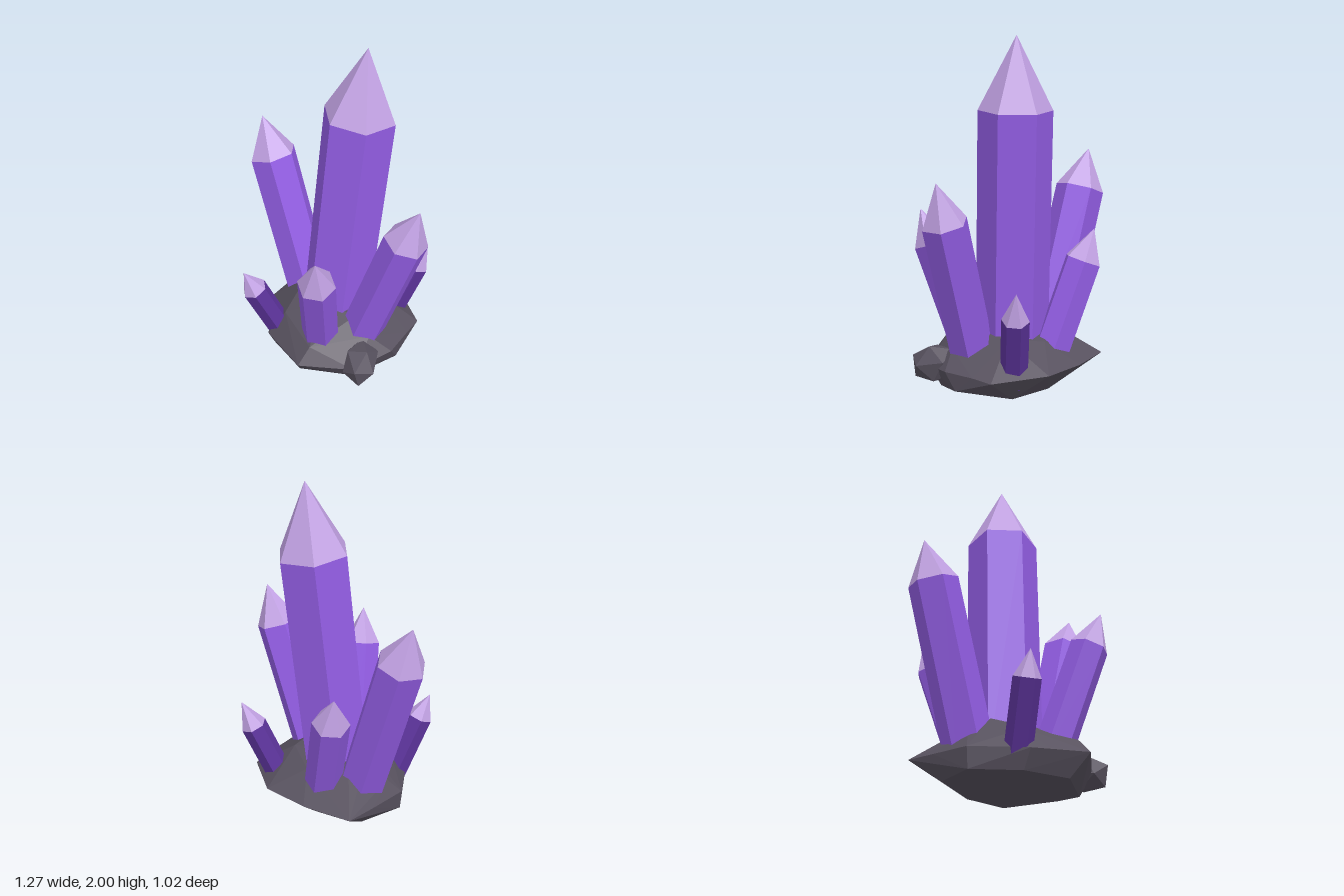
import * as THREE from 'three';
import { ConvexGeometry } from 'three/addons/geometries/ConvexGeometry.js';

const material = (name, color) => {
  const m = new THREE.MeshStandardMaterial({ color, flatShading: true });
  m.name = name;
  return m;
};

export function createModel() {
  const group = new THREE.Group();
  const violet = material('violet crystal', 0x945ee6);
  const deep = material('deep violet crystal', 0x5f359f);
  const pale = material('pale tip', 0xc2a2e4);
  const stone = material('dark stone', 0x58525f);

  const add = (parent, name, geometry, mat) => {
    const mesh = new THREE.Mesh(geometry, mat);
    mesh.name = name;
    parent.add(mesh);
    return mesh;
  };

  // Six-sided crystal: shoulder = centre of the ring under the tip,
  // slope = sideways drift [x, z] per unit of height, corner = angle of one edge
  function crystal(name, shoulder, slope, radius, apexY, corner, mat) {
    const axis = new THREE.Vector3(slope[0], 1, slope[1]);
    const stretch = axis.length();
    const shaft = (shoulder[1] - 0.1) * stretch;
    const tip = (apexY - shoulder[1]) * stretch;
    const turn = THREE.MathUtils.degToRad(90 - corner);
    const part = new THREE.Group();
    part.name = name;
    add(part, name + 'Shaft', new THREE.CylinderGeometry(radius, radius, shaft, 6)
      .rotateY(turn).translate(0, -shaft / 2, 0), mat);
    add(part, name + 'Tip', new THREE.ConeGeometry(radius, tip, 6, 1, true)
      .rotateY(turn).translate(0, tip / 2, 0), pale);
    part.position.set(...shoulder);
    part.quaternion.setFromUnitVectors(new THREE.Vector3(0, 1, 0), axis.normalize());
    group.add(part);
  }

  crystal('mainCrystal', [0.11, 1.59, -0.157], [0.067, -0.067], 0.21, 2.0, 50, violet);
  crystal('rightTallCrystal', [-0.505, 1.1, -0.183], [-0.32, -0.05], 0.143, 1.335, 0, violet);
  crystal('leftTallCrystal', [0.522, 0.99, 0.012], [0.33, -0.02], 0.131, 1.217, 90, violet);
  crystal('frontCrystal', [0.178, 0.8, 0.4], [0.165, 0.32], 0.111, 1.0, 40, violet);
  crystal('backCrystal', [-0.2, 0.73, -0.41], [-0.29, -0.22], 0.109, 0.911, 22, violet);
  crystal('smallFrontCrystal', [-0.318, 0.475, 0.317], [-0.26, 0.35], 0.077, 0.615, 50, deep);
  crystal('smallBackCrystal', [0.404, 0.49, -0.378], [0.32, -0.27], 0.077, 0.648, 0, deep);

  // Faceted stone base: underside, rim, shoulder and crown points
  const rock = [
    [-0.4, 0.02, 0], [-0.24, 0.01, 0.24], [0.02, 0.01, 0.35], [0.32, 0, 0.22],
    [0.48, 0.05, -0.02], [0.3, 0.01, -0.28], [0, 0, -0.31], [-0.3, 0.02, -0.25],
    [-0.41, 0.14, 0], [-0.38, 0.15, -0.25], [-0.353, 0.16, -0.446], [-0.056, 0.16, -0.49],
    [0.23, 0.16, -0.477], [0.488, 0.14, -0.276], [0.488, 0.15, -0.147], [0.485, 0.15, 0.05],
    [0.36, 0.12, 0.28], [0.075, 0.15, 0.45], [-0.15, 0.14, 0.33], [-0.25, 0.12, 0.29],
    [-0.34, 0.22, -0.05], [-0.18, 0.26, 0.2], [0.1, 0.24, 0.36], [0.36, 0.25, 0.1],
    [-0.18, 0.36, -0.02], [0.02, 0.35, 0.1], [0.24, 0.33, 0.06], [0.24, 0.32, -0.2],
    [-0.18, 0.33, -0.22], [0.05, 0.29, -0.32],
  ].map((p) => new THREE.Vector3(...p));
  add(group, 'rockBase', new ConvexGeometry(rock), stone);

  // Loose stone leaning on the base
  const pebble = add(group, 'smallRock', new THREE.IcosahedronGeometry(0.13, 0), stone);
  pebble.scale.set(0.85, 0.9, 1.2);
  pebble.position.set(0.37, 0.145, 0.22);
  pebble.rotation.set(0.2, 0.35, 0.1);

  return group;
}
